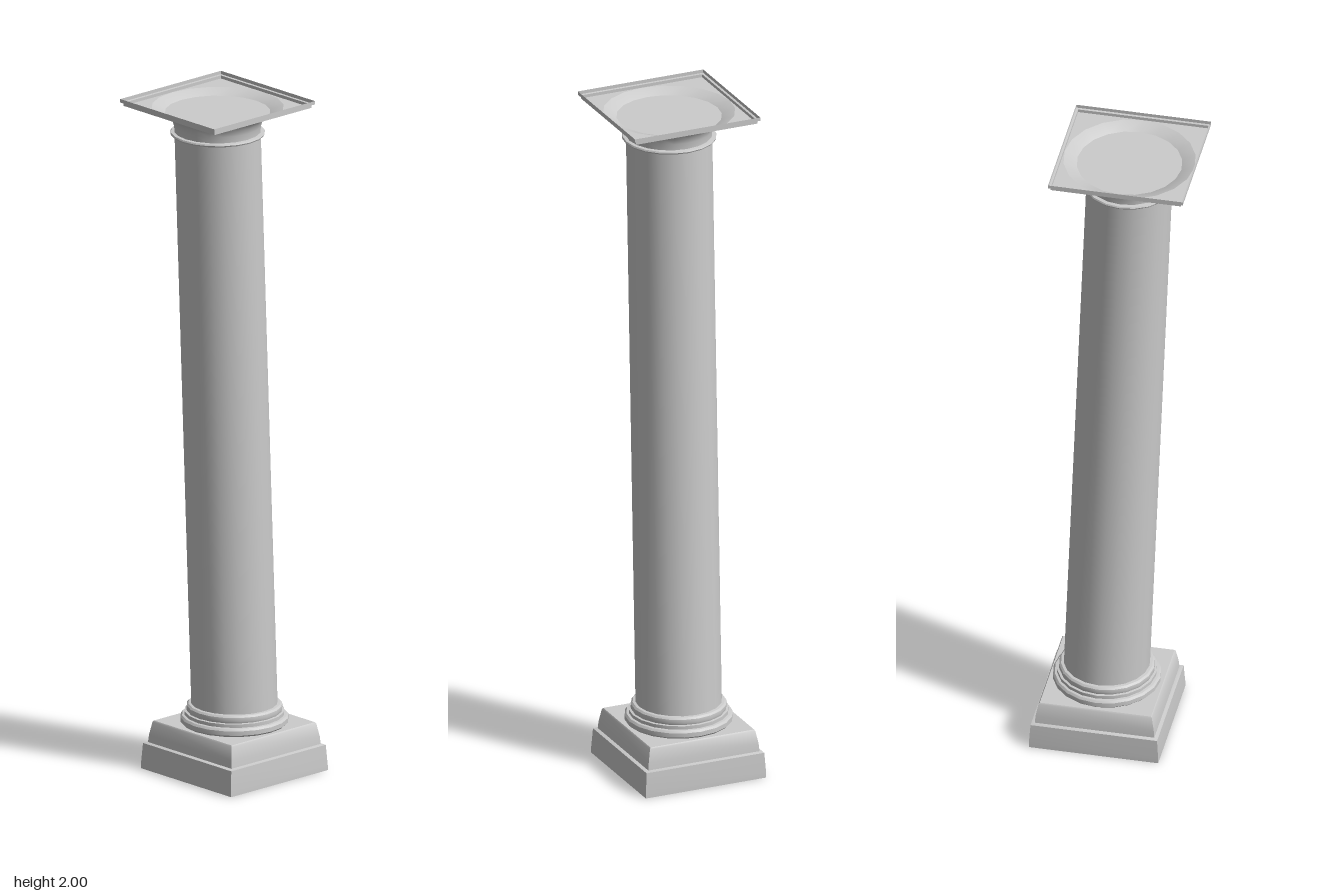
import * as THREE from 'three';
import { toCreasedNormals } from 'three/addons/utils/BufferGeometryUtils.js';

const SIDES = 20;
const BASE_Z = -0.038, TOP_Z = 0.027;
const material = new THREE.MeshStandardMaterial({ color: 0xcccccc, side: THREE.DoubleSide });
const toPoints = (profile) => profile.map(([r, y]) => new THREE.Vector2(r, y));

function part(name, geometry, z) {
  const mesh = new THREE.Mesh(toCreasedNormals(geometry, 0.55), material);
  mesh.name = name;
  mesh.position.z = z;
  return mesh;
}

// Round moulding from [radius, height] pairs, bottom to top
const round = (profile) => new THREE.LatheGeometry(toPoints(profile), SIDES);

// Square moulding from [half width, height] pairs, bottom to top
const square = (profile) => new THREE.LatheGeometry(
  toPoints(profile.map(([w, y]) => [w * Math.SQRT2, y])), 4, Math.PI / 4);

export function createModel() {
  const column = new THREE.Group();
  column.name = 'column';

  // Stepped square plinth, hollow underneath
  column.add(part('plinth', square([
    [0.187, 0], [0.187, 0.015], [0.183, 0.075], [0.173, 0.078],
    [0.171, 0.1], [0.164, 0.138], [0.161, 0.142], [0, 0.142],
  ]), BASE_Z));

  // Round base rings
  column.add(part('baseRings', round([
    [0.149, 0.142], [0.154, 0.147], [0.154, 0.16], [0.149, 0.166],
    [0.142, 0.167], [0.142, 0.177], [0.135, 0.178], [0.137, 0.184],
    [0.136, 0.194], [0.131, 0.199], [0.123, 0.2],
  ]), BASE_Z));

  // Leaning shaft: each ring stays level while its centre slides forward
  const y0 = 0.2, y1 = 1.905;
  const shaft = new THREE.CylinderGeometry(0.123, 0.123, y1 - y0, SIDES, 1, true);
  shaft.translate(0, (y0 + y1) / 2, 0);
  const pos = shaft.attributes.position;
  for (let i = 0; i < pos.count; i++) {
    const t = (pos.getY(i) - y0) / (y1 - y0);
    pos.setZ(i, pos.getZ(i) + THREE.MathUtils.lerp(BASE_Z, TOP_Z, t));
  }
  column.add(part('shaft', shaft, 0));

  // Collar and flared neck
  column.add(part('collar', round([
    [0.123, 1.9], [0.133, 1.901], [0.135, 1.905], [0.133, 1.909], [0.123, 1.91],
  ]), TOP_Z));
  column.add(part('neck', round([
    [0.123, 1.91], [0.124, 1.928], [0.129, 1.944], [0.138, 1.957],
    [0.15, 1.966], [0.188, 1.98],
  ]), TOP_Z));

  // Floor of the shallow dish in the top
  const floor = new THREE.CircleGeometry(0.15, SIDES).rotateX(-Math.PI / 2);
  column.add(part('dishFloor', floor.translate(0, 1.966, 0), TOP_Z));

  // Square top plate: ledge with a round opening, and a stepped rim
  const ledge = new THREE.Shape(
    [[-1, -1], [1, -1], [1, 1], [-1, 1]].map(([x, y]) => new THREE.Vector2(x * 0.1885, y * 0.1885)));
  const opening = Array.from({ length: SIDES }, (_, i) => {
    const a = -i / SIDES * Math.PI * 2;
    return new THREE.Vector2(Math.cos(a) * 0.188, Math.sin(a) * 0.188);
  });
  ledge.holes.push(new THREE.Path(opening));
  const ledgeGeometry = new THREE.ShapeGeometry(ledge).rotateX(-Math.PI / 2);
  column.add(part('plateLedge', ledgeGeometry.translate(0, 1.98, 0), TOP_Z));
  column.add(part('plateRim', square([
    [0.1885, 1.98], [0.1885, 1.989], [0.195, 1.99], [0.195, 2],
  ]), TOP_Z));

  return column;
}
